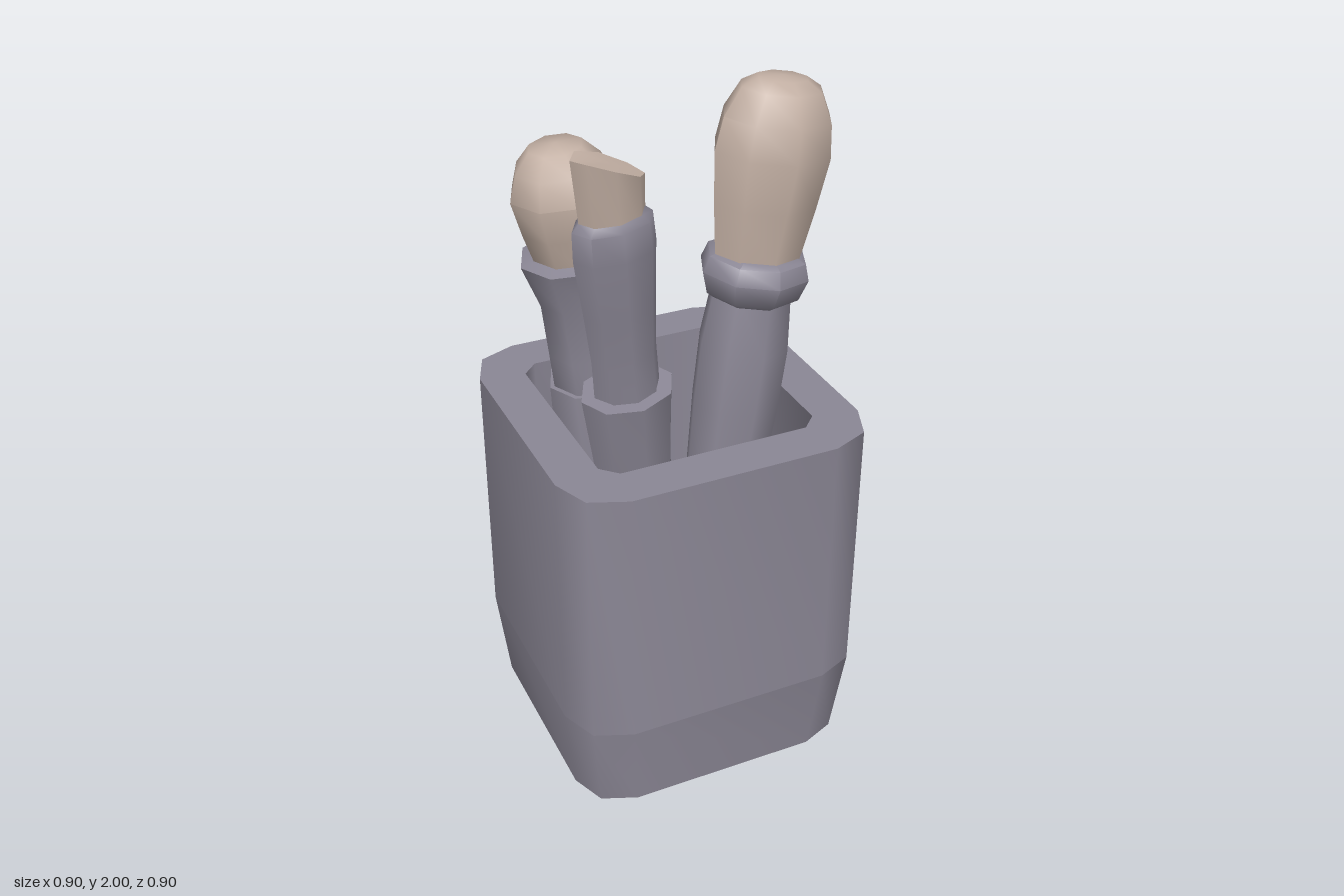
import * as THREE from 'three';
import { toCreasedNormals } from 'three/addons/utils/BufferGeometryUtils.js';

const CREASE = 0.9;
const FLOOR = 0.28;

export function createModel() {
  const model = new THREE.Group();
  model.name = 'brushCup';
  const grey = new THREE.MeshStandardMaterial({ color: 0x8b8795 });
  grey.name = 'slate grey';
  const tan = new THREE.MeshStandardMaterial({ color: 0xc3b0a4 });
  tan.name = 'bristle tan';

  const add = (parent, name, geo, mat) => {
    const mesh = new THREE.Mesh(toCreasedNormals(geo, CREASE), mat);
    mesh.name = name;
    parent.add(mesh);
    return mesh;
  };

  // Square outline with cut corners, mirrored into four quadrants
  const outline = (corner) => {
    const pts = [];
    for (let q = 0; q < 4; q++) {
      for (const [x, y] of corner) {
        pts.push(new THREE.Vector2(x, y).rotateAround(new THREE.Vector2(), q * Math.PI / 2));
      }
    }
    return pts;
  };
  const outer = outline([[0.45, 0.3], [0.407, 0.407], [0.3, 0.45]]);
  const inner = outline([[0.32, 0.275], [0.275, 0.32]]);
  const upright = (shape, y0, y1) => new THREE.ExtrudeGeometry(shape, { depth: y1 - y0, bevelEnabled: false })
    .rotateX(-Math.PI / 2).translate(0, y0, 0);

  // Cup wall with its square opening
  const wall = new THREE.Shape(outer);
  wall.holes.push(new THREE.Path(inner));
  add(model, 'cupWall', upright(wall, FLOOR, 1.07), grey);

  // Solid base, tapering towards the ground
  const base = upright(new THREE.Shape(outer), 0, FLOOR);
  const bp = base.attributes.position;
  for (let i = 0; i < bp.count; i++) {
    if (bp.getY(i) < 0.01) bp.setXYZ(i, bp.getX(i) * 0.93, 0, bp.getZ(i) * 0.93);
  }
  add(model, 'cupBase', base, grey);

  // Leaning brush: foot position on the floor, lean per unit of height
  const brush = (name, x, z, leanX, leanZ) => {
    const g = new THREE.Group();
    g.name = name;
    const dir = new THREE.Vector3(leanX, 1, leanZ);
    const stretch = dir.length();
    g.quaternion.setFromUnitVectors(new THREE.Vector3(0, 1, 0), dir.normalize());
    g.position.set(x, FLOOR, z);
    model.add(g);
    // Eight-sided turned part from [radius, height] pairs, flattened front to back
    const part = (partName, mat, profile, flat = 1, shape = null) => {
      const pts = profile.map(([r, y]) => new THREE.Vector2(r, (y - FLOOR) * stretch));
      const geo = new THREE.LatheGeometry(pts, 8).scale(1, 1, flat);
      if (shape) shape(geo.attributes.position);
      add(g, partName, geo, mat);
    };
    return part;
  };

  // Round brush at the back
  const round = brush('roundBrush', -0.05, -0.15, -0.13, 0);
  round('handle', grey, [[0.1, 0.28], [0.17, 0.6], [0.165, 0.7], [0.135, 1.1], [0, 1.1]]);
  round('ferrule', grey, [[0.122, 1.08], [0.12, 1.2], [0.118, 1.36], [0.153, 1.49], [0.11, 1.5]]);
  round('bristles', tan, [[0.108, 1.47], [0.132, 1.58], [0.148, 1.68], [0.122, 1.75], [0.075, 1.802], [0, 1.81]]);

  // Tall oval brush on the left
  const oval = brush('ovalBrush', 0.07, 0.1, 0.124, 0);
  oval('handle', grey, [[0.085, 0.28], [0.11, 0.7], [0.128, 1.07], [0.13, 1.25], [0.113, 1.42]], 0.95);
  oval('collar', grey, [[0.113, 1.39], [0.135, 1.405], [0.155, 1.465], [0.14, 1.51], [0.115, 1.52]], 0.97);
  oval('bristles', tan, [[0.122, 1.49], [0.15, 1.66], [0.168, 1.8], [0.155, 1.89], [0.115, 1.965], [0.07, 1.99], [0, 1.995]], 0.83);

  // Slim slanted brush at the front
  const slim = brush('slantedBrush', -0.11, 0.128, -0.108, 0.108);
  slim('handle', grey, [[0.075, 0.28], [0.095, 0.7], [0.113, 1.07], [0.128, 1.27], [0.085, 1.27]], 0.85);
  slim('ferrule', grey, [[0.092, 1.24], [0.09, 1.38], [0.098, 1.52], [0.11, 1.69], [0.106, 1.77], [0.086, 1.79]], 0.65);
  slim('bristles', tan, [[0.085, 1.75], [0.092, 1.96], [0, 1.96]], 0.58, (p) => {
    // Slanted cut across the tip
    for (let i = 0; i < p.count; i++) {
      if (p.getY(i) > 1.6) p.setY(i, p.getY(i) - Math.max(0, p.getX(i) + 0.05) * 0.6);
    }
  });

  return model;
}
